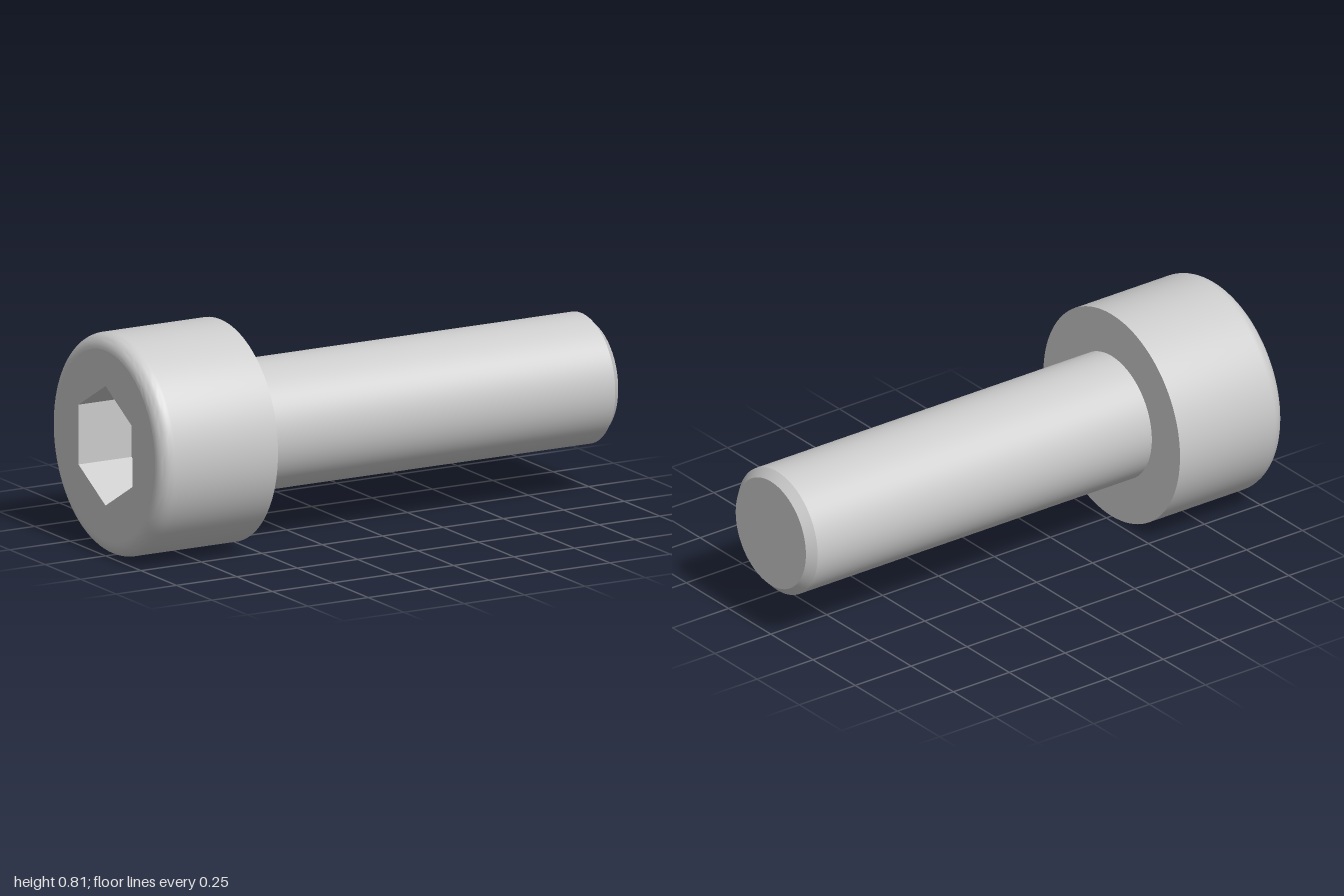
import * as THREE from 'three';
import { toCreasedNormals } from 'three/addons/utils/BufferGeometryUtils.js';

const HEAD_R = 0.405, HEAD_L = 0.476, FILLET = 0.055;
const SHANK_R = 0.238, LENGTH = 2, CHAMFER = 0.03;
const SOCKET_R = 0.22, SOCKET_DEPTH = 0.22;
const SEGMENTS = 96;

export function createModel() {
  const material = new THREE.MeshStandardMaterial({ color: 0xcccccc });
  const screw = new THREE.Group();
  screw.name = 'socketHeadScrew';

  const add = (name, geometry) => {
    const mesh = new THREE.Mesh(geometry, material);
    mesh.name = name;
    mesh.position.set(-LENGTH / 2, HEAD_R, 0);
    screw.add(mesh);
  };

  // Turns a [radius, distance along screw] profile about the x axis
  const turned = (profile, segments = SEGMENTS, start = 0) => {
    const points = profile.map(([r, d]) => new THREE.Vector2(r, d));
    const geometry = new THREE.LatheGeometry(points, segments, start);
    geometry.rotateZ(-Math.PI / 2);
    return toCreasedNormals(geometry, 0.5);
  };

  // Head: rounded outer rim, straight side and flat underside
  const headProfile = [];
  for (let i = 0; i <= 10; i++) {
    const a = (i / 10) * Math.PI / 2;
    headProfile.push([HEAD_R - FILLET + FILLET * Math.sin(a), FILLET - FILLET * Math.cos(a)]);
  }
  headProfile.push([HEAD_R, HEAD_L], [SHANK_R, HEAD_L]);
  add('head', turned(headProfile));

  // End face of the head with a hexagonal opening
  const face = new THREE.Shape().absarc(0, 0, HEAD_R - FILLET, 0, Math.PI * 2);
  const corners = [];
  for (let i = 0; i < 6; i++) {
    const a = Math.PI / 2 + i * Math.PI / 3;
    corners.push(new THREE.Vector2(SOCKET_R * Math.cos(a), SOCKET_R * Math.sin(a)));
  }
  face.holes.push(new THREE.Path(corners));
  add('headFace', new THREE.ShapeGeometry(face, SEGMENTS).rotateY(-Math.PI / 2));

  // Hexagonal socket: floor and inward-facing walls
  add('hexSocket', turned([[0, SOCKET_DEPTH], [SOCKET_R, SOCKET_DEPTH], [SOCKET_R, 0]], 6, Math.PI / 2));

  // Plain shank with a chamfered tip
  add('shank', turned([
    [SHANK_R, HEAD_L],
    [SHANK_R, LENGTH - CHAMFER],
    [SHANK_R - CHAMFER, LENGTH],
    [0, LENGTH],
  ]));

  return screw;
}
